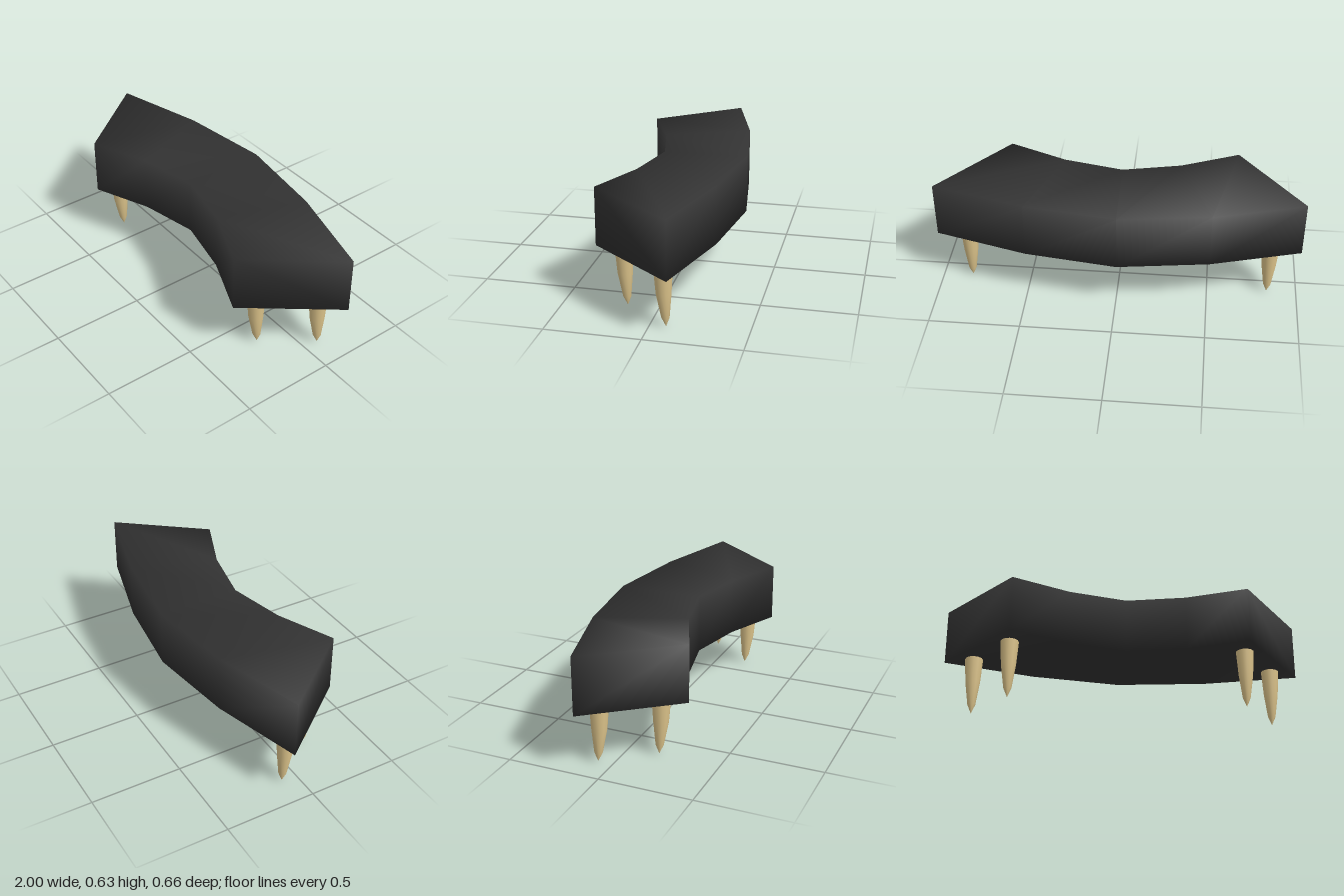
import * as THREE from 'three';

const BOTTOM = 0.316, TOP = 0.63;

// Curved seat: rectangular cross-sections swept along the bend, soft shared normals
function seatGeometry() {
  // [front x, front z, back x, back z]
  const sections = [
    [-0.64, 0.33, -1, -0.125],
    [-0.325, 0.195, -0.505, -0.265],
    [-0.005, 0.125, -0.01, -0.333],
    [0.32, 0.195, 0.49, -0.265],
    [0.64, 0.33, 1, -0.125],
  ];
  const pos = [], idx = [];
  for (const [fx, fz, bx, bz] of sections) {
    pos.push(fx, TOP, fz, bx, TOP, bz, bx, BOTTOM, bz, fx, BOTTOM, fz);
  }
  for (let i = 0; i < sections.length - 1; i++) {
    for (let j = 0; j < 4; j++) {
      const a = i * 4 + j, b = i * 4 + (j + 1) % 4;
      idx.push(a, a + 4, b + 4, a, b + 4, b);
    }
  }
  // End caps
  const e = (sections.length - 1) * 4;
  idx.push(0, 1, 2, 0, 2, 3, e, e + 2, e + 1, e, e + 3, e + 2);
  const g = new THREE.BufferGeometry();
  g.setAttribute('position', new THREE.Float32BufferAttribute(pos, 3));
  g.setIndex(idx);
  g.computeVertexNormals();
  return g;
}

// Tapered leg with a pointed foot, its axis drifting slightly back towards the tip
function legGeometry() {
  const profile = [[0, 0], [0.0215, 0.05], [0.04, 0.18], [0.05, 0.32]];
  const g = new THREE.LatheGeometry(profile.map(([r, y]) => new THREE.Vector2(r, y)), 12);
  const p = g.attributes.position;
  for (let i = 0; i < p.count; i++) p.setZ(i, p.getZ(i) + 0.014 * Math.min(1, p.getY(i) / 0.22));
  return g;
}

export function createModel() {
  const group = new THREE.Group();
  group.name = 'curvedBench';

  const upholstery = new THREE.MeshStandardMaterial({ color: 0x333333 });
  upholstery.name = 'black upholstery';
  const wood = new THREE.MeshStandardMaterial({ color: 0xdfc68c });
  wood.name = 'pale wood';

  const seat = new THREE.Mesh(seatGeometry(), upholstery);
  seat.name = 'seat';
  group.add(seat);

  // Two legs at each end
  const leg = legGeometry();
  for (const side of [-1, 1]) {
    for (const [name, x, z] of [['frontLeg', 0.64, 0.166], ['backLeg', 0.835, -0.083]]) {
      const mesh = new THREE.Mesh(leg, wood);
      mesh.name = name + (side > 0 ? 'Left' : 'Right');
      mesh.position.set(side * x, 0, z);
      group.add(mesh);
    }
  }
  return group;
}
